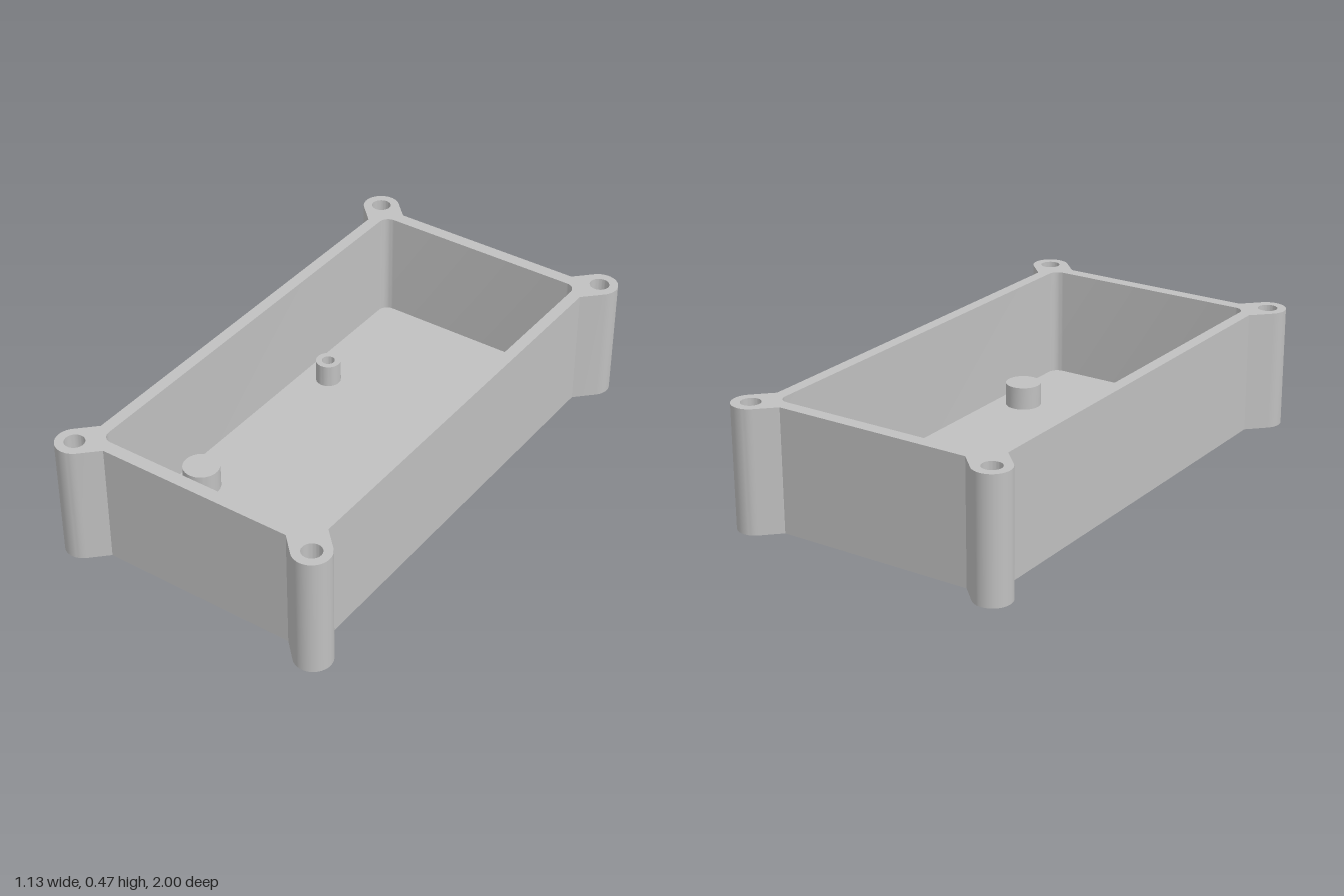
import * as THREE from 'three';
import { mergeGeometries, toCreasedNormals } from 'three/addons/utils/BufferGeometryUtils.js';

const TOP = 0.467, FLOOR = 0.046, BOSS_TOP = 0.135;
const LUG = { x: 0.497, z: 0.93, r: 0.07 };
const BODY = { x: 0.479, z: 0.915 };

// Plan paths are counter-clockwise lists of (x, -z) points.
function circle(x, z, r, n = 40) {
  return Array.from({ length: n }, (_, i) => {
    const a = (i / n) * Math.PI * 2;
    return new THREE.Vector2(x + r * Math.cos(a), -z + r * Math.sin(a));
  });
}

function roundedRect(hx, hz, r) {
  const pts = [];
  [[1, 1], [-1, 1], [-1, -1], [1, -1]].forEach(([sx, sy], k) => {
    for (let i = 0; i <= 8; i++) {
      const a = (k + i / 8) * Math.PI / 2;
      pts.push(new THREE.Vector2(sx * (hx - r) + r * Math.cos(a), sy * (hz - r) + r * Math.sin(a)));
    }
  });
  return pts;
}

// Rectangular body with a round lug on a 45 degree neck at each corner
function caseOutline() {
  const d = LUG.r * Math.SQRT1_2;
  const corner = [[BODY.x, LUG.z - d - (LUG.x + d - BODY.x)]];
  for (let i = 0; i <= 24; i++) {
    const a = -Math.PI / 4 + (i / 24) * Math.PI;
    corner.push([LUG.x + LUG.r * Math.cos(a), LUG.z + LUG.r * Math.sin(a)]);
  }
  corner.push([LUG.x - d - (LUG.z + d - BODY.z), BODY.z]);
  const pts = [];
  for (const [sx, sy] of [[1, 1], [-1, 1], [-1, -1], [1, -1]]) {
    const c = corner.map(([x, y]) => new THREE.Vector2(sx * x, sy * y));
    pts.push(...(sx * sy > 0 ? c : c.reverse()));
  }
  return pts;
}

// Horizontal face with holes, looking up or down
function flat(path, holes, y, up = true) {
  const shape = new THREE.Shape(path);
  shape.holes = holes.map((h) => new THREE.Path(h));
  const g = new THREE.ShapeGeometry(shape);
  g.rotateX(-Math.PI / 2).translate(0, y, 0);
  if (!up) g.setIndex(Array.from(g.index.array).reverse());
  g.deleteAttribute('uv');
  const flatGeo = g.toNonIndexed();
  flatGeo.computeVertexNormals();
  return flatGeo;
}

// Vertical wall along a closed path, looking outward or inward
function wall(path, y0, y1, outward = true) {
  const p = outward ? path : [...path].reverse();
  const v = [];
  p.forEach((a, i) => {
    const b = p[(i + 1) % p.length];
    v.push(a.x, y0, -a.y, b.x, y0, -b.y, b.x, y1, -b.y);
    v.push(a.x, y0, -a.y, b.x, y1, -b.y, a.x, y1, -a.y);
  });
  const g = new THREE.BufferGeometry();
  g.setAttribute('position', new THREE.Float32BufferAttribute(v, 3));
  return toCreasedNormals(g, Math.PI / 6);
}

export function createModel() {
  const group = new THREE.Group();
  const grey = new THREE.MeshStandardMaterial({ color: 0xc0c0c0 });
  grey.name = 'grey plastic';
  const add = (name, ...parts) => {
    const mesh = new THREE.Mesh(mergeGeometries(parts), grey);
    mesh.name = name;
    group.add(mesh);
  };

  const outline = caseOutline();
  const cavity = roundedRect(0.433, 0.865, 0.04);
  const cableHole = circle(-0.22, 0.7, 0.113, 56);
  const lugSpots = [[1, 1], [-1, 1], [-1, -1], [1, -1]].map(([sx, sz]) => [sx * LUG.x, sz * LUG.z]);
  const bossSpots = [[-0.328, 0.47], [0.322, 0.47]];
  const postSpots = [[-0.328, -0.322], [0.282, -0.322]];

  const topHoles = lugSpots.map(([x, z]) => circle(x, z, 0.037));
  const backLugHoles = lugSpots.filter(([, z]) => z < 0).map(([x, z]) => circle(x, z, 0.03));
  const bossHoles = bossSpots.map(([x, z]) => circle(x, z, 0.03));
  const bosses = bossSpots.map(([x, z]) => circle(x, z, 0.069));
  const posts = postSpots.map(([x, z]) => circle(x, z, 0.048));
  const postHoles = postSpots.map(([x, z]) => circle(x, z, 0.025));

  // Shell
  add('outerWall', wall(outline, 0, TOP));
  add('topRim', flat(outline, [cavity, ...topHoles], TOP));
  add('innerWall', wall(cavity, FLOOR, TOP, false));
  add('floor', flat(cavity, [cableHole, ...bosses, ...posts], FLOOR));
  add('underside', flat(outline, [cableHole, ...backLugHoles, ...bossHoles], 0, false));
  add('cableHole', wall(cableHole, 0, FLOOR, false));

  // Blind screw holes
  topHoles.forEach((h) => add('lugScrewHole', wall(h, 0.2, TOP, false), flat(h, [], 0.2)));
  backLugHoles.forEach((h) => add('lugBottomHole', wall(h, 0, 0.1, false), flat(h, [], 0.1, false)));
  bossHoles.forEach((h) => add('bossBottomHole', wall(h, 0, 0.1, false), flat(h, [], 0.1, false)));

  // Solid bosses and hollow posts standing on the floor
  bosses.forEach((b) => add('boss', wall(b, FLOOR, BOSS_TOP), flat(b, [], BOSS_TOP)));
  posts.forEach((p, i) => add('post',
    wall(p, FLOOR, BOSS_TOP), flat(p, [postHoles[i]], BOSS_TOP),
    wall(postHoles[i], FLOOR, BOSS_TOP, false), flat(postHoles[i], [], FLOOR)));

  return group;
}
